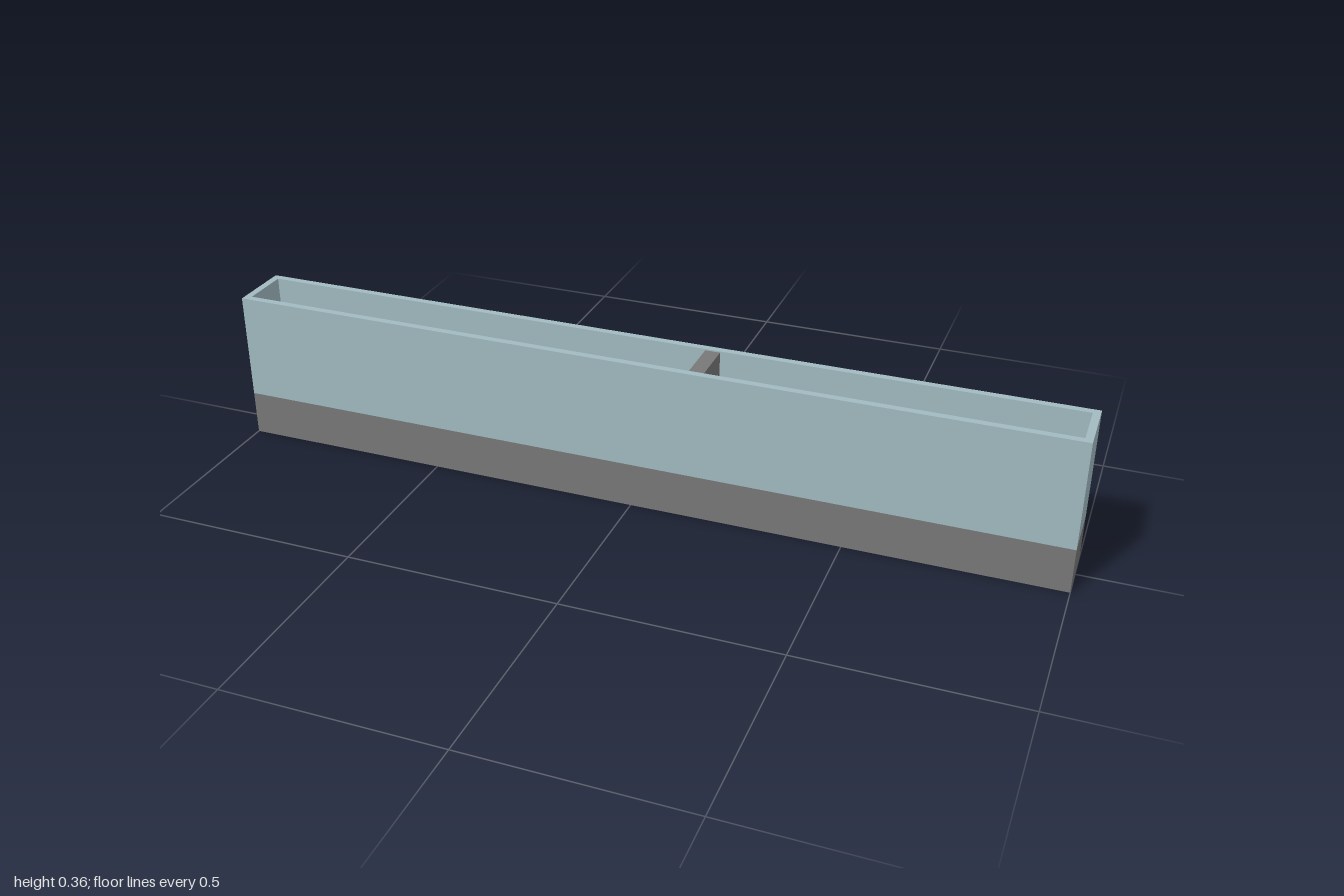
import * as THREE from 'three';

const GROUND = 0.107, TOP = 0.363;
const HALF_X = 1, HALF_Z = 0.075, WALL = 0.017;
const INNER_Z = HALF_Z - WALL;

export function createModel() {
  const model = new THREE.Group();
  model.name = 'glassTank';
  const material = (name, color) => {
    const m = new THREE.MeshStandardMaterial({ color });
    m.name = name;
    return m;
  };
  const glass = material('paleGlass', 0xa1bac1);
  const stone = material('greyStone', 0x787878);
  const water = material('blueWater', 0x3558b8);
  const wood = material('brownWood', 0x987443);

  const add = (name, geometry, mat) => {
    const mesh = new THREE.Mesh(geometry, mat);
    mesh.name = name;
    model.add(mesh);
    return mesh;
  };
  // Box given by its x range, y range and half depth
  const block = (name, x0, x1, y0, y1, halfZ, mat) => {
    const g = new THREE.BoxGeometry(x1 - x0, y1 - y0, halfZ * 2);
    g.translate((x0 + x1) / 2, (y0 + y1) / 2, 0);
    return add(name, g, mat);
  };
  const corners = (x, z) => [[-x, -z], [x, -z], [x, z], [-x, z]].map(p => new THREE.Vector2(...p));

  // Solid ground
  block('ground', -HALF_X, HALF_X, 0, GROUND, HALF_Z, stone);

  // Open-topped ring of walls
  const ring = new THREE.Shape(corners(HALF_X, HALF_Z));
  ring.holes.push(new THREE.Path(corners(HALF_X - WALL, INNER_Z).reverse()));
  const walls = new THREE.ExtrudeGeometry(ring, { depth: TOP - GROUND, bevelEnabled: false });
  walls.rotateX(-Math.PI / 2).translate(0, GROUND, 0);
  add('walls', walls, glass);

  // Upright divider across the tank
  block('divider', 0.13, 0.165, GROUND, TOP - 0.003, INNER_Z, stone);

  // Pools of water along the floor
  const pools = [[-0.707, -0.066], [0.02, 0.128], [0.167, 0.277], [0.485, 0.64], [0.7, 0.913]];
  for (const [x0, x1] of pools) block('pool', x0, x1, GROUND, GROUND + 0.004, INNER_Z, water);

  // Row of bridge planks
  const start = 0.338, pitch = 0.022;
  for (let i = 0; i < 5; i++) {
    const x = start + i * pitch;
    block('plank', x, x + pitch - 0.002, GROUND, GROUND + 0.008, INNER_Z, wood);
  }
  return model;
}
